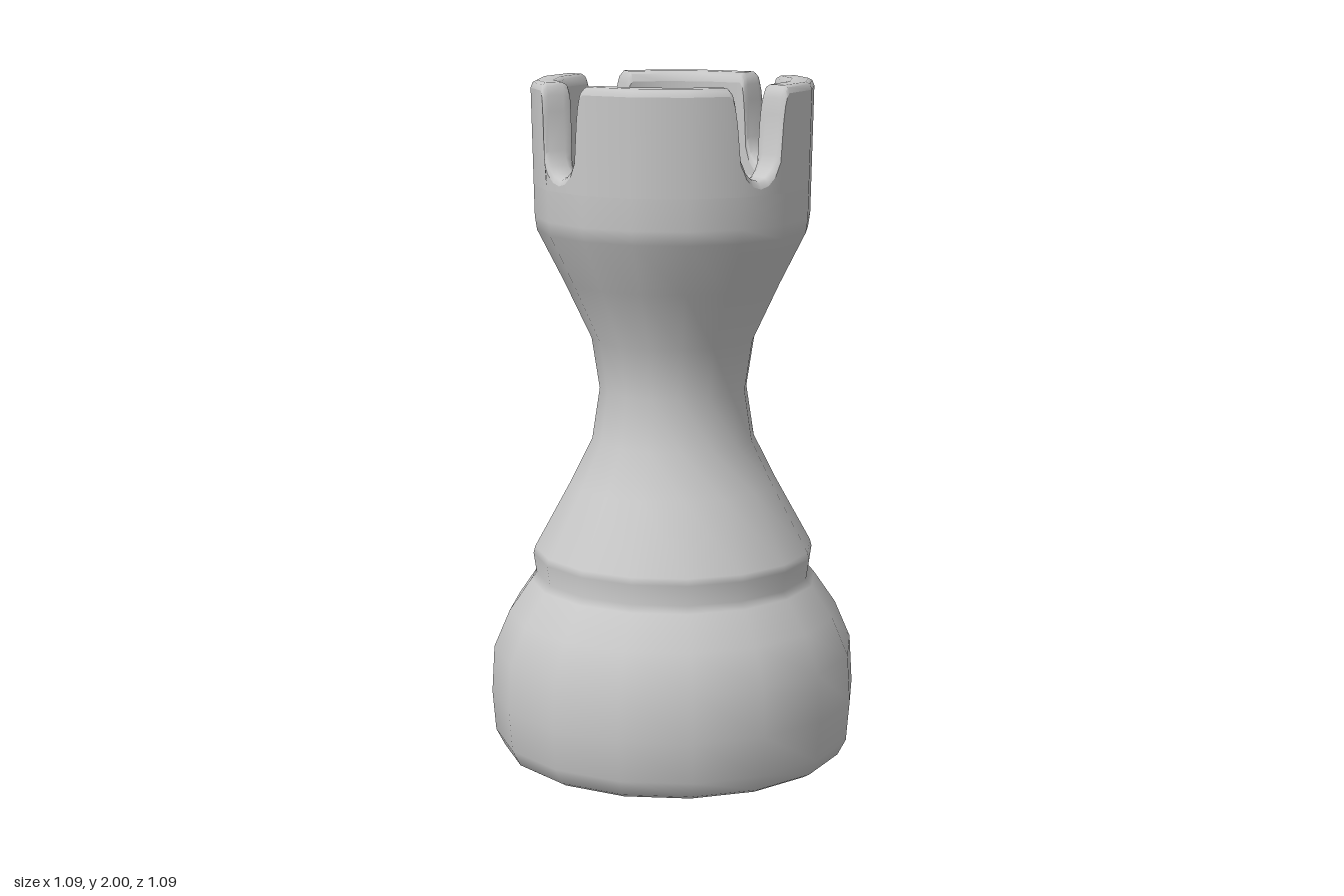
import * as THREE from 'three';
import { toCreasedNormals } from 'three/addons/utils/BufferGeometryUtils.js';

const SIDES = 16;
const STEP = (Math.PI * 2) / SIDES;
const DEG = Math.PI / 180;
const GAP_CENTRE = 31.5;
const WALL_START = 1.7;

// Half outline of a crenel: degrees from its centre, height of the wall there
const GAP = [[0, 1.74], [4, 1.748], [7.5, 1.77], [10.2, 1.81], [11.5, 1.92], [12.4, 1.965], [13.3, 1.988], [14.8, 2]];

function wallTop(deg) {
  const local = ((deg - GAP_CENTRE + 45 + 720) % 90) - 45;
  const d = Math.abs(local);
  for (let i = 1; i < GAP.length; i++) {
    const [d0, h0] = GAP[i - 1], [d1, h1] = GAP[i];
    if (d <= d1) return h0 + ((h1 - h0) * (d - d0)) / (d1 - d0);
  }
  return 2;
}

// Angles of the polygon corners plus the outline points of the four crenels
function columnAngles() {
  const set = new Set();
  for (let i = 0; i < SIDES; i++) set.add((i * 360) / SIDES);
  for (let k = 0; k < 4; k++)
    for (const [d] of GAP)
      for (const s of [-1, 1]) set.add((GAP_CENTRE + k * 90 + s * d + 360) % 360);
  const list = [...set].sort((a, b) => a - b);
  list.push(360);
  return list;
}

// Sweep rows of [radius, heightFromTop(top)] around the axis, on a 16-sided ring
function sweep(rows, radialSign = 0) {
  const pos = [], nor = [], index = [];
  const angles = columnAngles();
  const n = rows.length;
  angles.forEach((deg, c) => {
    const a = deg * DEG;
    const chord = Math.cos(STEP / 2) / Math.cos((a % STEP) - STEP / 2);
    const top = wallTop(deg);
    rows.forEach(([r, y], j) => {
      pos.push(r * chord * Math.sin(a), y(top), r * chord * Math.cos(a));
      nor.push(radialSign * Math.sin(a), 0, radialSign * Math.cos(a));
      if (c > 0 && j > 0) {
        const q = c * n + j, p = q - n;
        index.push(p - 1, q - 1, p, q, p, q - 1);
      }
    });
  });
  const g = new THREE.BufferGeometry();
  g.setAttribute('position', new THREE.Float32BufferAttribute(pos, 3));
  g.setIndex(index);
  if (radialSign) {
    g.setAttribute('normal', new THREE.Float32BufferAttribute(nor, 3));
    return g;
  }
  return toCreasedNormals(g, 50 * DEG);
}

const lathe = (points) =>
  new THREE.LatheGeometry(points.map(([x, y]) => new THREE.Vector2(x, y)), SIDES);

export function createModel() {
  const group = new THREE.Group();
  group.name = 'rook';
  const stone = new THREE.MeshStandardMaterial({ name: 'stone grey', color: 0xc8c8c8 });

  const add = (name, geometry) => {
    const mesh = new THREE.Mesh(geometry, stone);
    mesh.name = name;
    group.add(mesh);
    return mesh;
  };

  // Turned body: bulging foot, collar, waist and flared head
  add('body', lathe([
    [0.49, 0], [0.51, 0.012], [0.535, 0.06], [0.545, 0.18], [0.537, 0.32], [0.49, 0.43],
    [0.425, 0.525], [0.408, 0.545], [0.417, 0.605], [0.412, 0.625], [0.305, 0.82],
    [0.24, 0.95], [0.217, 1.1], [0.24, 1.25], [0.32, 1.42], [0.396, 1.57],
    [0.402, 1.61], [0.404, WALL_START],
  ]));

  // Flat underside
  const underside = add('underside', new THREE.CircleGeometry(0.49, SIDES));
  underside.rotation.x = Math.PI / 2;

  // Dished floor inside the head
  add('headFloor', lathe([[0.32, WALL_START], [0.31, 1.67], [0.28, 1.648], [0.2, 1.64], [0, 1.64]]));

  // Notched battlement: outer face, rounded rim, inner face
  const start = () => WALL_START;
  const below = (d) => (top) => top - d;
  add('battlementOuterWall', sweep([[0.404, start], [0.41, below(0.022)]], 1));
  add('battlementRim', sweep([
    [0.41, below(0.022)], [0.404, below(0.006)], [0.392, below(0)],
    [0.345, below(0)], [0.33, below(0.008)], [0.323, below(0.03)],
  ]));
  add('battlementInnerWall', sweep([[0.323, below(0.03)], [0.32, start]], -1));

  return group;
}
